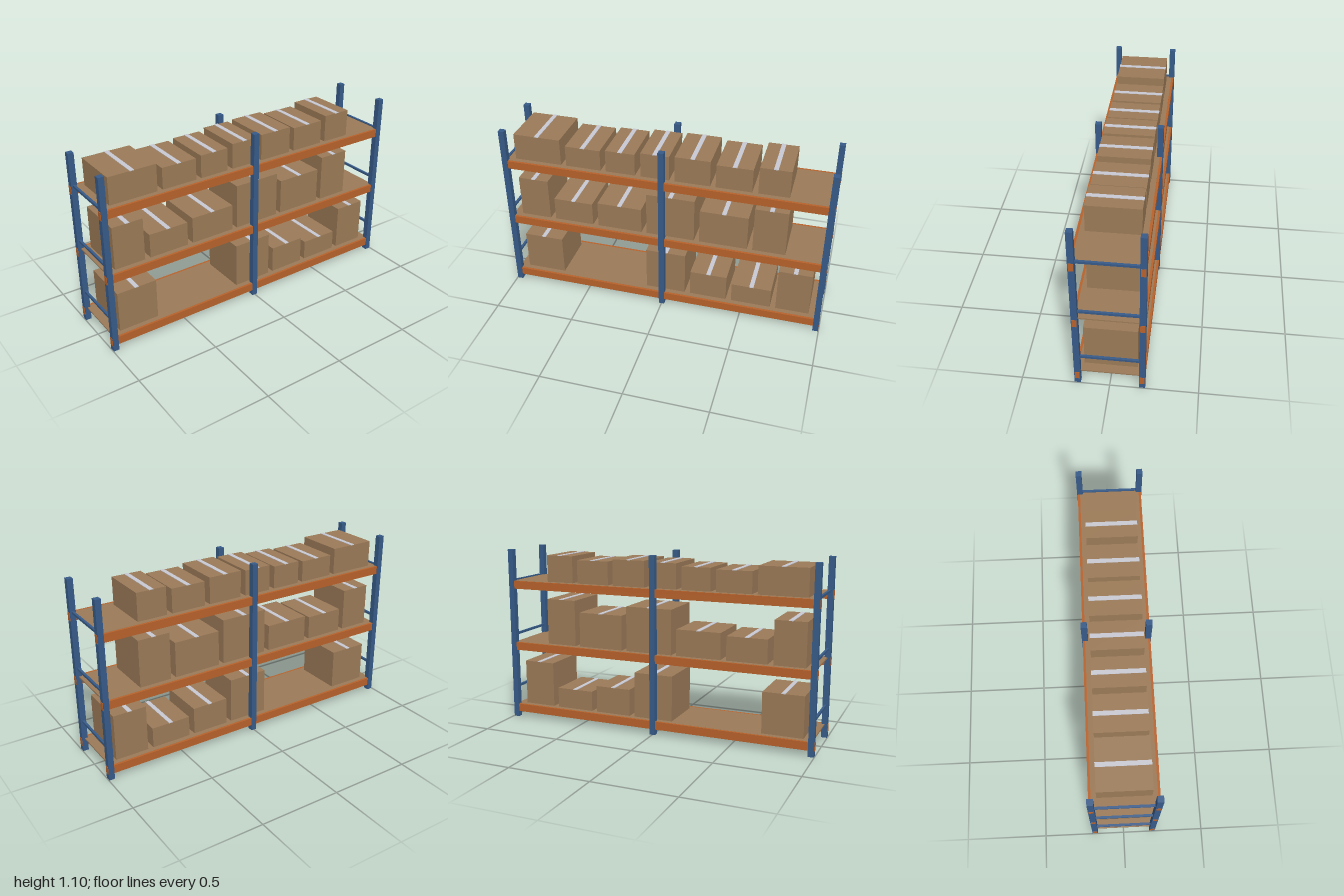
import * as THREE from 'three';

const mat = (name, color) => {
  const m = new THREE.MeshStandardMaterial({ color });
  m.name = name;
  return m;
};

export function createModel() {
  const blue = mat('blue steel', 0x375b89);
  const orange = mat('orange steel', 0xb8622b);
  const board = mat('brown board', 0x9b7a57);
  const tapeGrey = mat('pale tape', 0xc8c9d2);

  const rack = new THREE.Group();
  rack.name = 'storageRack';

  // Box given by its size and centre
  const block = (parent, name, material, [w, h, d], [x, y, z]) => {
    const mesh = new THREE.Mesh(new THREE.BoxGeometry(w, h, d), material);
    mesh.name = name;
    mesh.position.set(x, y, z);
    parent.add(mesh);
  };

  // Uprights: three along each side
  for (const x of [-0.1825, 0.1825])
    for (const z of [-0.98, 0, 0.98])
      block(rack, 'upright', blue, [0.035, 1.1, 0.035], [x, 0.55, z]);

  // Cross bars joining the end uprights
  for (const z of [-0.98, 0.98])
    for (const y of [0.201, 0.551, 0.901])
      block(rack, 'crossBar', blue, [0.35, 0.014, 0.014], [0, y, z]);

  // Cartons on each level: [front z, back z, top y]
  const levels = [
    { name: 'lowerLevel', y: 0.085, cartons: [
      [0.925, 0.675, 0.338], [0.11, -0.14, 0.368], [-0.175, -0.405, 0.254],
      [-0.44, -0.685, 0.212], [-0.72, -0.925, 0.371]] },
    { name: 'middleLevel', y: 0.5, cartons: [
      [0.925, 0.735, 0.764], [0.7, 0.452, 0.647], [0.417, 0.138, 0.662],
      [0.105, -0.192, 0.778], [-0.225, -0.517, 0.718], [-0.55, -0.747, 0.79]] },
    { name: 'upperLevel', y: 0.9, cartons: [
      [0.925, 0.633, 1.065], [0.6, 0.383, 1.031], [0.35, 0.17, 1.039],
      [0.135, -0.037, 1.055], [-0.07, -0.281, 1.061], [-0.314, -0.526, 1.046],
      [-0.56, -0.74, 1.068]] },
  ];

  for (const { name, y, cartons } of levels) {
    const level = new THREE.Group();
    level.name = name;
    rack.add(level);

    // Long beams and the shelf laid between them
    for (const x of [-0.1825, 0.1825])
      block(level, 'beam', orange, [0.027, 0.05, 2], [x, y - 0.025, 0]);
    block(level, 'shelf', board, [0.364, 0.008, 1.96], [0, y - 0.0035, 0]);

    // Cartons with a strip of tape across the lid
    for (const [front, back, top] of cartons) {
      const z = (front + back) / 2;
      block(level, 'carton', board, [0.302, top - y, front - back], [0, (top + y) / 2, z]);
      block(level, 'tape', tapeGrey, [0.304, 0.004, 0.026], [0, top + 0.001, z]);
    }
  }
  return rack;
}
